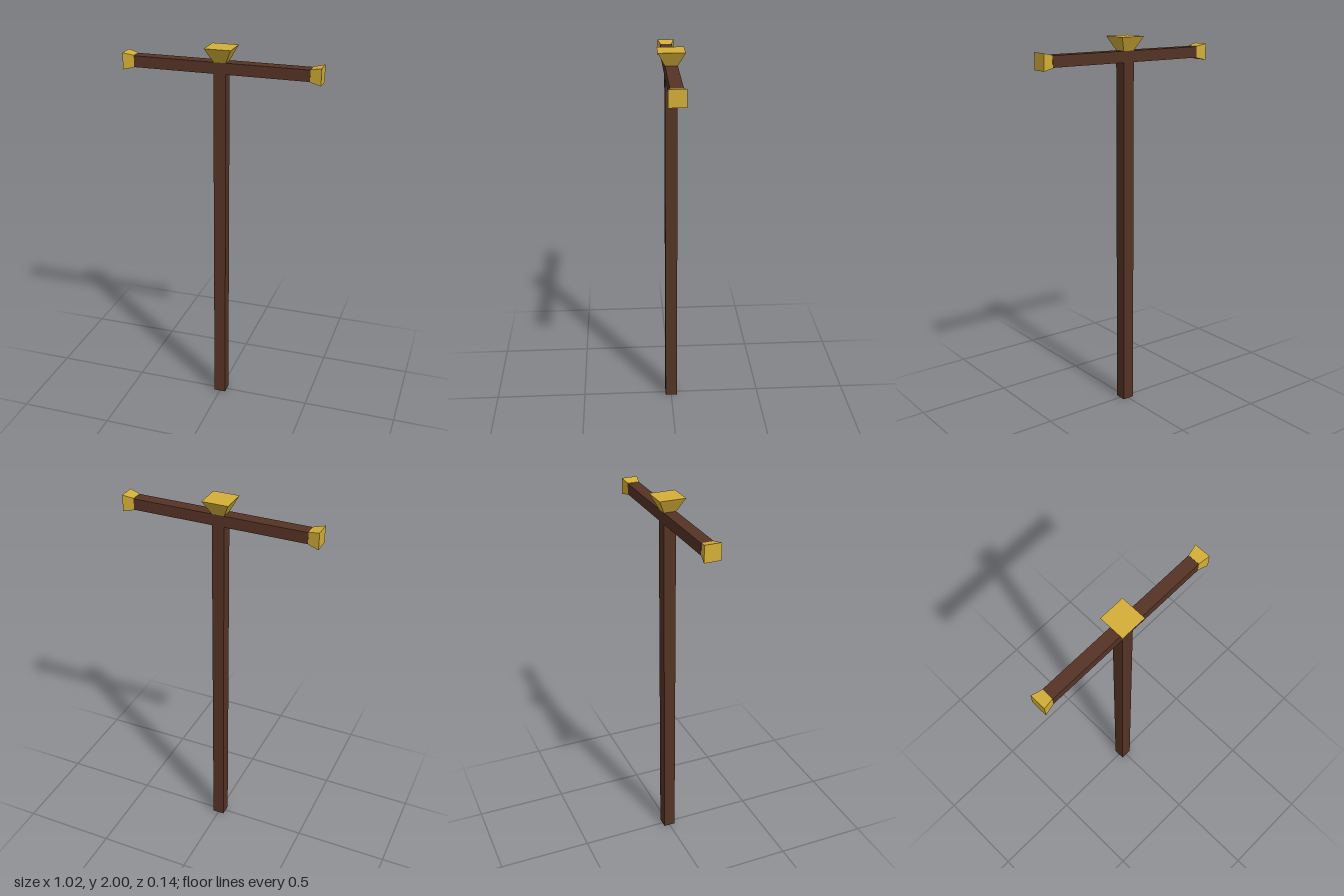
import * as THREE from 'three';

export function createModel() {
  const group = new THREE.Group();
  const wood = new THREE.MeshStandardMaterial({ color: 0x553325 });
  wood.name = 'darkWood';
  const gold = new THREE.MeshStandardMaterial({ color: 0xd4af37 });
  gold.name = 'gold';

  const add = (name, geometry, material, x, y) => {
    const mesh = new THREE.Mesh(geometry, material);
    mesh.name = name;
    mesh.position.set(x, y, 0);
    group.add(mesh);
    return mesh;
  };

  // Square block that widens from its base to its top
  const flared = (base, top, height) => {
    const g = new THREE.BoxGeometry(1, height, 1);
    const p = g.attributes.position;
    for (let i = 0; i < p.count; i++) {
      const s = p.getY(i) > 0 ? top : base;
      p.setX(i, p.getX(i) * s);
      p.setZ(i, p.getZ(i) * s);
    }
    g.computeVertexNormals();
    return g;
  };

  // Upright post and crossbar
  add('post', new THREE.BoxGeometry(0.064, 1.87, 0.064), wood, 0, 0.935);
  add('crossbar', new THREE.BoxGeometry(0.912, 0.058, 0.064), wood, 0, 1.899);

  // Flared finial on top
  add('finial', flared(0.064, 0.137, 0.072), gold, 0, 1.964);

  // Flared caps on both ends of the crossbar
  for (const side of [1, -1]) {
    const cap = add(side > 0 ? 'leftCap' : 'rightCap', flared(0.062, 0.086, 0.057), gold, side * 0.484, 1.899);
    cap.rotation.z = -side * Math.PI / 2;
  }

  return group;
}
